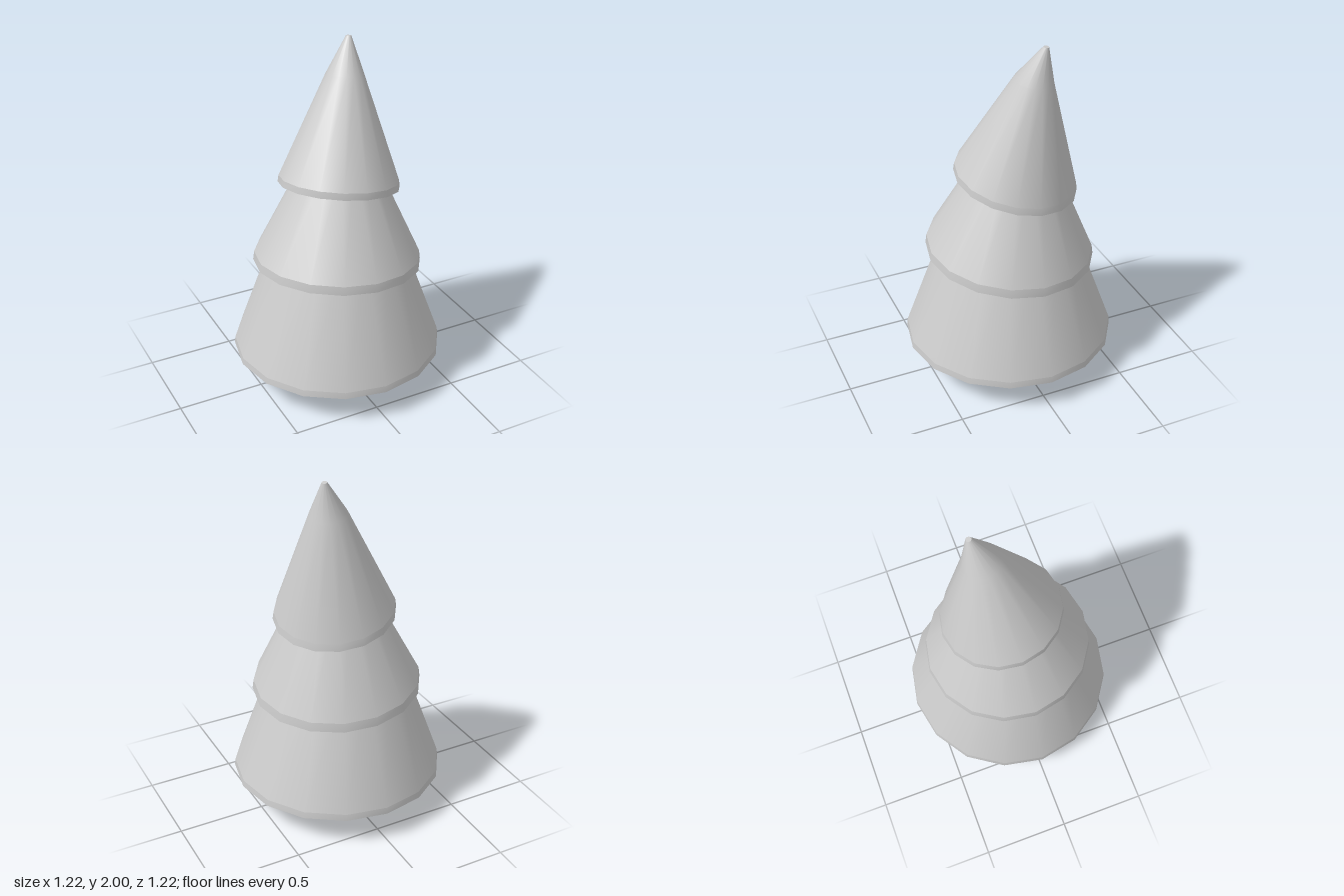
import * as THREE from 'three';
import { mergeGeometries } from 'three/addons/utils/BufferGeometryUtils.js';

const SIDES = 16;

// A ring is [height, radius, lean, tilt]: lean shifts its centre towards +x and -z,
// tilt drops that side by the given slope. Rings listed upwards face outwards.
function strip(rings) {
  const pos = [], index = [];
  rings.forEach(([y, r, lean = 0, tilt = 0], j) => {
    for (let i = 0; i < SIDES; i++) {
      const a = (i / SIDES) * Math.PI * 2;
      const x = Math.sin(a) * r, z = Math.cos(a) * r;
      pos.push(x + lean, y + tilt * (z - x), z - lean);
      if (j === rings.length - 1) continue;
      const k = (i + 1) % SIDES;
      const a0 = j * SIDES + i, b0 = j * SIDES + k;
      index.push(a0, b0, b0 + SIDES, a0, b0 + SIDES, a0 + SIDES);
    }
  });
  const geo = new THREE.BufferGeometry();
  geo.setAttribute('position', new THREE.Float32BufferAttribute(pos, 3));
  geo.setIndex(index);
  geo.computeVertexNormals();
  return geo;
}

// Each tier: rim band, sloping boughs, hollow underside and a small cap
function tierGeometry({ rim, boughs, hollow }) {
  const top = boughs[boughs.length - 1];
  return mergeGeometries([
    strip([rim, boughs[0]]),
    strip(boughs),
    strip([hollow, rim]),
    strip([top, [top[0], 0, top[2], top[3]]]),
  ]);
}

export function createModel() {
  const tree = new THREE.Group();
  tree.name = 'tree';
  const material = new THREE.MeshStandardMaterial({ color: 0xcccccc, side: THREE.DoubleSide });
  const add = (name, geo) => {
    const mesh = new THREE.Mesh(geo, material);
    mesh.name = name;
    tree.add(mesh);
    return mesh;
  };

  // Trunk, reaching up inside the lowest tier
  add('trunk', new THREE.CylinderGeometry(0.2, 0.2, 0.5, SIDES)).position.y = 0.25;

  // Tiers lean and tilt more towards the top
  const tiers = {
    lowerBoughs: {
      rim: [0.18, 0.608],
      boughs: [[0.217, 0.603], [0.9, 0.355]],
      hollow: [0.46, 0.18],
    },
    middleBoughs: {
      rim: [0.723, 0.482, 0.005, 0.069],
      boughs: [[0.773, 0.475, 0.005, 0.069], [1.38, 0.175, 0.04, 0.1]],
      hollow: [0.98, 0.16, 0.01, 0.07],
    },
    upperBoughs: {
      rim: [1.185, 0.343, 0.03, 0.147],
      boughs: [
        [1.225, 0.337, 0.03, 0.147],
        [1.8, 0.106, 0.103, 0.12],
        [1.995, 0.015, 0.148, 0.12],
      ],
      hollow: [1.45, 0.1, 0.05, 0.147],
    },
  };
  for (const [name, tier] of Object.entries(tiers)) add(name, tierGeometry(tier));

  return tree;
}
